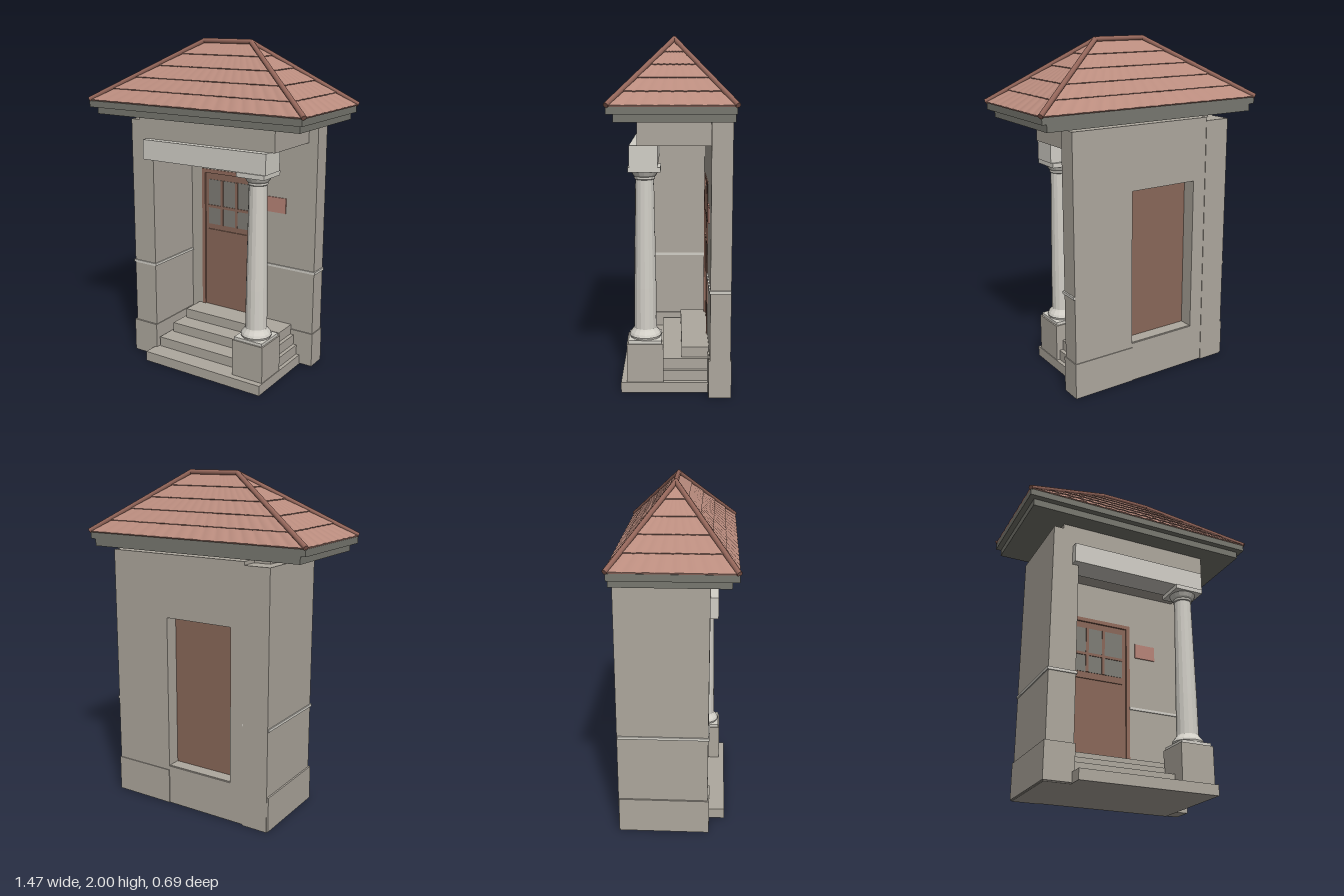
import * as THREE from 'three';

const mat = (name, color, opts = {}) => {
  const m = new THREE.MeshStandardMaterial({ color, ...opts });
  m.name = name;
  return m;
};

export function createModel() {
  const wall = mat('wall plaster', 0xaea89e);
  const trim = mat('pale stone', 0xd3d0c8);
  const pillar = mat('pillar stone', 0xd3d0c8, { flatShading: true });
  const eaveMat = mat('eave grey', 0x787870);
  const tile = mat('roof tile', 0xba8c7e, { side: THREE.DoubleSide });
  const capMat = mat('ridge tile', 0x94665a);
  const wood = mat('door wood', 0x8a6859);
  const frameMat = mat('frame wood', 0x936c5d);
  const glass = mat('window glass', 0x7f7d76);
  const signMat = mat('plaque', 0xb88578);

  const model = new THREE.Group();
  model.name = 'entrancePorch';

  const add = (name, geometry, material, parent = model) => {
    const m = new THREE.Mesh(geometry, material);
    m.name = name;
    parent.add(m);
    return m;
  };
  // Box given by its limits on each axis
  const box = (name, material, x0, x1, y0, y1, z0, z1, parent = model) => {
    const m = add(name, new THREE.BoxGeometry(x1 - x0, y1 - y0, z1 - z0), material, parent);
    m.position.set((x0 + x1) / 2, (y0 + y1) / 2, (z0 + z1) / 2);
    return m;
  };

  // Back wall with door opening
  const rect = (S, x0, x1, y0, y1) => {
    const s = new S();
    s.moveTo(x0, y0).lineTo(x1, y0).lineTo(x1, y1).lineTo(x0, y1).closePath();
    return s;
  };
  const outline = rect(THREE.Shape, -0.36, 0.54, 0.005, 1.54);
  outline.holes.push(rect(THREE.Path, -0.275, 0.16, 0.245, 1.17));
  add('backWall', new THREE.ExtrudeGeometry(outline, { depth: 0.115, bevelEnabled: false }), wall)
    .position.z = -0.325;

  // Side wall, plinths and string courses
  box('sideWall', wall, -0.52, -0.36, 0, 1.52, -0.328, 0.19);
  box('sidePlinth', wall, -0.53, -0.355, 0.005, 0.215, -0.325, 0.2);
  box('backPlinth', wall, 0.16, 0.545, 0.005, 0.22, -0.33, -0.203);
  box('sideBand', trim, -0.527, -0.353, 0.608, 0.624, -0.325, 0.197);
  box('backBand', trim, 0.162, 0.549, 0.608, 0.624, -0.323, -0.203);

  // Steps
  for (let i = 0; i < 4; i++) {
    const inset = i * 0.022;
    box('step' + (i + 1), wall, -0.37 + inset, 0.46 - inset, i * 0.0625, (i + 1) * 0.0625 - 0.001,
      -0.318, 0.29 - i * 0.115);
  }

  // Beams
  box('upperBeam', wall, -0.46, 0.48, 1.41, 1.55, -0.22, 0.19);
  box('lintel', trim, -0.4, 0.45, 1.29, 1.41, 0.08, 0.235);

  // Column on its pedestal
  const column = new THREE.Group();
  column.name = 'column';
  column.position.set(0.355, 0, 0.153);
  model.add(column);
  box('pedestal', wall, -0.103, 0.103, 0.064, 0.288, -0.103, 0.103, column);
  box('columnFoot', trim, -0.094, 0.094, 0.288, 0.306, -0.094, 0.094, column);
  const profile = [[0, 0.306], [0.088, 0.306], [0.092, 0.318], [0.086, 0.332], [0.07, 0.352], [0.065, 0.36],
    [0.063, 0.6], [0.052, 1.215], [0.058, 1.22], [0.058, 1.232], [0.066, 1.24], [0.08, 1.266], [0, 1.266]]
    .map(p => new THREE.Vector2(...p));
  add('shaft', new THREE.LatheGeometry(profile, 16), pillar, column);
  box('abacus', trim, -0.09, 0.09, 1.264, 1.291, -0.09, 0.09, column);

  // Door with glazed upper panel
  const door = new THREE.Group();
  door.name = 'door';
  model.add(door);
  box('doorLeaf', wood, -0.275, 0.16, 0.245, 1.17, -0.24, -0.216, door);
  box('frameLeft', frameMat, -0.278, -0.254, 0.247, 1.172, -0.236, -0.205, door);
  box('frameRight', frameMat, 0.14, 0.164, 0.247, 1.172, -0.236, -0.205, door);
  box('frameTop', frameMat, -0.278, 0.164, 1.147, 1.172, -0.236, -0.205, door);
  box('windowGlass', glass, -0.23, 0.113, 0.81, 1.105, -0.217, -0.213, door);
  for (const x of [-0.127, -0.018]) {
    box('glazingBar', wood, x - 0.009, x + 0.009, 0.81, 1.105, -0.217, -0.208, door);
  }
  box('crossBar', wood, -0.23, 0.113, 0.92, 0.938, -0.217, -0.208, door);
  box('doorRail', wood, -0.23, 0.113, 0.765, 0.775, -0.217, -0.209, door);

  // Wall plaque
  box('plaque', signMat, 0.2, 0.34, 0.96, 1.055, -0.211, -0.203);

  // Eaves
  box('lowerEave', eaveMat, -0.69, 0.685, 1.55, 1.592, -0.325, 0.3);
  box('upperEave', eaveMat, -0.722, 0.715, 1.592, 1.63, -0.33, 0.335);

  // Hipped roof: overlapping courses of gently rippled tiles
  const V = (x, y, z) => new THREE.Vector3(x, y, z);
  const [fl, fr, br, bl] = [[-1, 1], [1, 1], [1, -1], [-1, -1]].map(([x, z]) => V(0.72 * x, 1.63, 0.33 * z));
  const rl = V(-0.12, 1.975, -0.012), rr = V(0.2, 1.975, -0.012);

  const slope = (name, a, b, c, d, tiles) => {
    const normal = b.clone().sub(a).cross(d.clone().sub(a)).normalize();
    const pos = [], idx = [], rows = 5, n = tiles * 6;
    // Each strip joins two lines across the slope, given by height and lift
    const strip = (t0, lift0, t1, lift1) => {
      const start = pos.length / 3;
      for (const [t, lift] of [[t0, lift0], [t1, lift1]]) {
        const p = a.clone().lerp(d, t), q = b.clone().lerp(c, t);
        for (let i = 0; i <= n; i++) {
          const ripple = 0.004 * Math.abs(Math.sin(Math.PI * i / 6)) * (1 - t);
          const v = p.clone().lerp(q, i / n).addScaledVector(normal, lift > 0 ? lift + ripple : 0);
          pos.push(v.x, v.y, v.z);
        }
      }
      for (let i = 0; i < n; i++) {
        const s = start + i, u = s + n + 1;
        idx.push(s, s + 1, u + 1, s, u + 1, u);
      }
    };
    for (let r = 0; r < rows; r++) {
      strip(r / rows, 0, r / rows, 0.008);
      strip(r / rows, 0.008, (r + 1) / rows, 0.002);
    }
    const g = new THREE.BufferGeometry();
    g.setAttribute('position', new THREE.Float32BufferAttribute(pos, 3));
    g.setIndex(idx);
    g.computeVertexNormals();
    add(name, g, tile);
  };
  slope('roofFront', fl, fr, rr, rl, 16);
  slope('roofBack', br, bl, rl, rr, 16);
  slope('roofRight', fr, br, rr, rr, 8);
  slope('roofLeft', bl, fl, rl, rl, 8);

  // Ridge and hip caps
  const cap = (name, p, q) => {
    const dir = q.clone().sub(p);
    const m = add(name, new THREE.CylinderGeometry(0.015, 0.015, dir.length() + 0.01, 8), capMat);
    m.position.copy(p).add(q).multiplyScalar(0.5);
    m.position.y += 0.01;
    m.quaternion.setFromUnitVectors(V(0, 1, 0), dir.normalize());
  };
  cap('ridgeCap', rl, rr);
  cap('hipCap', fl, rl);
  cap('hipCap', bl, rl);
  cap('hipCap', fr, rr);
  cap('hipCap', br, rr);

  return model;
}
